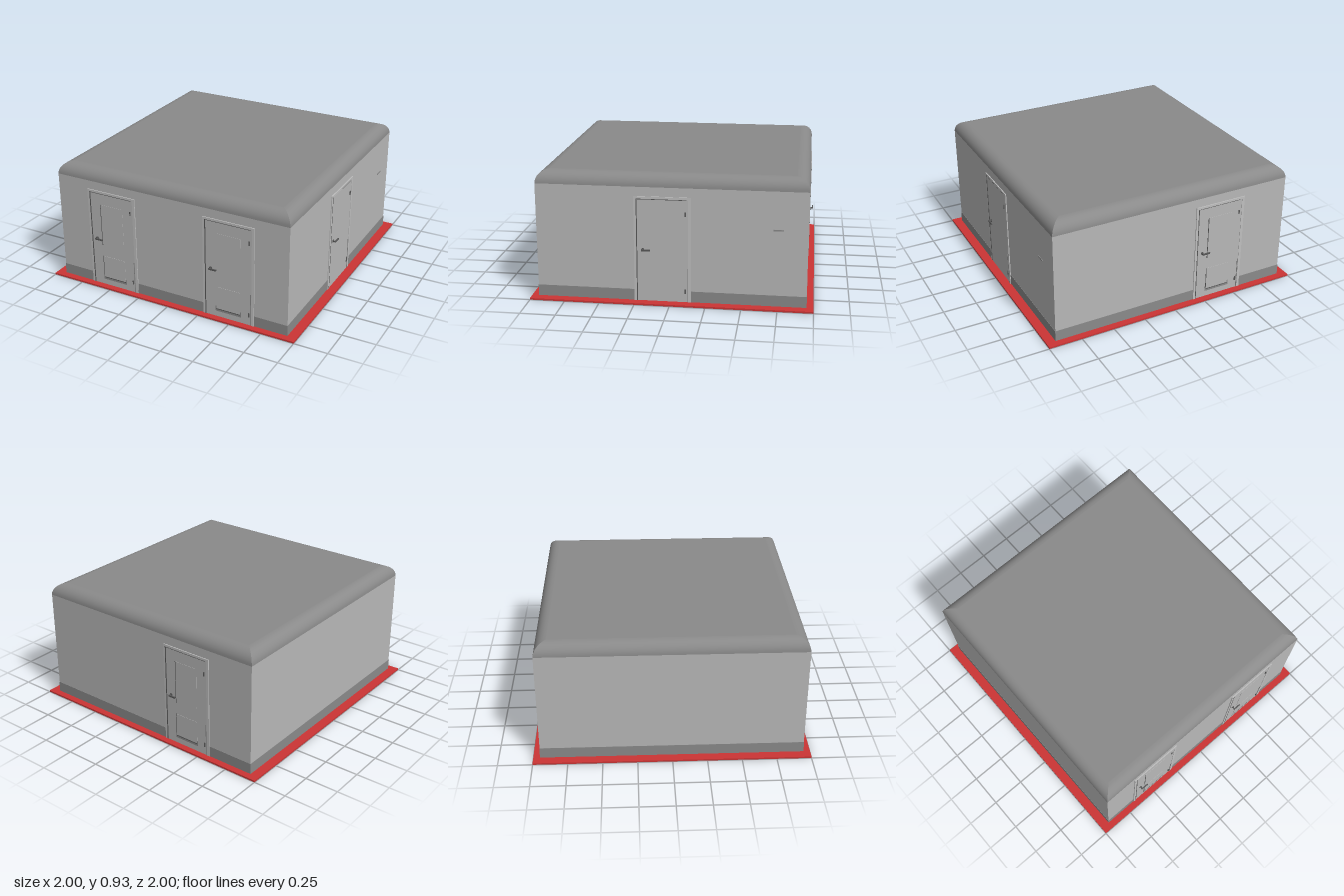
import * as THREE from 'three';

const mat = (name, color, extra = {}) => {
  const m = new THREE.MeshStandardMaterial({ color, ...extra });
  m.name = name;
  return m;
};

export function createModel() {
  const M = {
    wall: mat('wall grey', 0xb8b8b8),
    roof: mat('roof grey', 0x8a8a8a),
    trim: mat('frame grey', 0xc0c0c0),
    dark: mat('metal grey', 0x585858),
    red: mat('base red', 0xcc3535),
  };
  const model = new THREE.Group();
  model.name = 'building';

  const X = 0.93, Z = 0.95, FLOOR = 0.012, EAVE = 0.84, TOP = 0.93;

  const add = (parent, name, geometry, material, x, y, z) => {
    const mesh = new THREE.Mesh(geometry, material);
    mesh.name = name;
    mesh.position.set(x, y, z);
    parent.add(mesh);
    return mesh;
  };
  // Box given by its x and y limits and its z limits
  const plate = (parent, name, material, x0, x1, y0, y1, z0, z1) =>
    add(parent, name, new THREE.BoxGeometry(x1 - x0, y1 - y0, z1 - z0), material,
      (x0 + x1) / 2, (y0 + y1) / 2, (z0 + z1) / 2);

  // Base, walls and skirting
  plate(model, 'baseSlab', M.red, -1, 1, 0, FLOOR, -1, 1);
  plate(model, 'walls', M.wall, -X, X, FLOOR, EAVE, -Z, Z);
  const s = 0.002;
  plate(model, 'skirting', M.roof, -X - s, X + s, FLOOR, 0.092, -Z - s, Z + s);

  // Roof: quarter-round edge on each side with mitred corners, flat on top
  const R = TOP - EAVE, STEPS = 8;
  const roofEdge = (halfWidth, depth) => {
    const pos = [], index = [];
    for (let i = 0; i <= STEPS; i++) {
      const a = (i / STEPS) * Math.PI / 2;
      const inset = R * (1 - Math.cos(a)), y = EAVE + R * Math.sin(a);
      pos.push(-halfWidth + inset, y, depth - inset, halfWidth - inset, y, depth - inset);
      if (i < STEPS) {
        const k = i * 2;
        index.push(k, k + 1, k + 3, k, k + 3, k + 2);
      }
    }
    const g = new THREE.BufferGeometry();
    g.setAttribute('position', new THREE.Float32BufferAttribute(pos, 3));
    g.setIndex(index);
    g.computeVertexNormals();
    return g;
  };
  for (let i = 0; i < 4; i++) {
    const g = i % 2 ? roofEdge(Z, X) : roofEdge(X, Z);
    add(model, 'roofEdge', g, M.roof, 0, 0, 0).rotation.y = i * Math.PI / 2;
  }
  const top = new THREE.PlaneGeometry(2 * (X - R), 2 * (Z - R)).rotateX(-Math.PI / 2);
  add(model, 'roofTop', top, M.roof, 0, TOP, 0);

  // Door facing +z, standing on the wall plane at local z = 0
  const makeDoor = (name, panels) => {
    const door = new THREE.Group();
    door.name = name;
    plate(door, 'doorLeaf', M.wall, -0.185, 0.185, FLOOR, 0.76, -0.002, 0.004);
    for (const side of [-1, 1]) {
      const a = side * 0.18, b = side * 0.2;
      plate(door, 'framePost', M.trim, Math.min(a, b), Math.max(a, b), FLOOR, 0.775, -0.002, 0.007);
    }
    plate(door, 'frameHead', M.trim, -0.18, 0.18, 0.758, 0.775, -0.002, 0.007);

    // Shadow gaps between leaf and frame
    plate(door, 'sideGap', M.dark, -0.183, -0.177, FLOOR, 0.76, 0, 0.0075);
    plate(door, 'topGap', M.dark, -0.18, 0.17, 0.753, 0.758, 0, 0.005);
    plate(door, 'hingeGap', M.roof, 0.172, 0.177, FLOOR, 0.26, 0, 0.0075);

    // Lever handle
    const rose = new THREE.CylinderGeometry(0.011, 0.011, 0.004, 16).rotateX(Math.PI / 2);
    add(door, 'handleRose', rose, M.dark, -0.138, 0.39, 0.006);
    const stem = new THREE.CylinderGeometry(0.005, 0.005, 0.02, 12).rotateX(Math.PI / 2);
    add(door, 'handleStem', stem, M.dark, -0.138, 0.39, 0.014);
    plate(door, 'handleLever', M.dark, -0.145, -0.085, 0.385, 0.396, 0.02, 0.029);

    // Hinges
    for (const y of [0.092, 0.655]) {
      add(door, 'hinge', new THREE.CylinderGeometry(0.005, 0.005, 0.032, 10), M.dark, 0.16, y, 0.006);
    }

    // Raised panels, with a slotted grille at the bottom
    if (panels) {
      plate(door, 'upperPanel', M.wall, -0.092, 0.092, 0.36, 0.67, 0, 0.006);
      plate(door, 'lowerPanel', M.wall, -0.092, 0.092, 0.07, 0.25, 0, 0.006);
      plate(door, 'grilleSill', M.roof, -0.1, 0.1, 0.055, 0.07, 0, 0.0055);
      plate(door, 'grilleSlot', M.dark, -0.092, 0.092, 0.07, 0.076, 0, 0.0065);
      for (const x of [-0.1, 0.092]) {
        plate(door, 'grilleEnd', M.roof, x, x + 0.008, 0.07, 0.095, 0, 0.0055);
      }
      if (panels === 2) {
        for (const [y0, y1] of [[0.076, 0.25], [0.34, 0.67]]) {
          plate(door, 'panelGap', M.dark, -0.097, -0.092, y0, y1, 0, 0.0055);
        }
      }
    }
    model.add(door);
    return door;
  };

  makeDoor('frontRightDoor', 2).position.set(-0.475, 0, Z);
  makeDoor('frontLeftDoor', 1).position.set(0.475, 0, Z);

  const sideDoor = makeDoor('sideDoor', 0);
  sideDoor.position.set(X, 0, 0.055);
  sideDoor.rotation.y = Math.PI / 2;

  const backDoor = makeDoor('backDoor', 2);
  backDoor.position.set(-0.375, 0, -Z);
  backDoor.rotation.y = Math.PI;

  // Small slot on the side wall
  plate(model, 'wallSlot', M.roof, X - 0.002, X + 0.005, 0.561, 0.571, -0.78, -0.71);

  return model;
}
